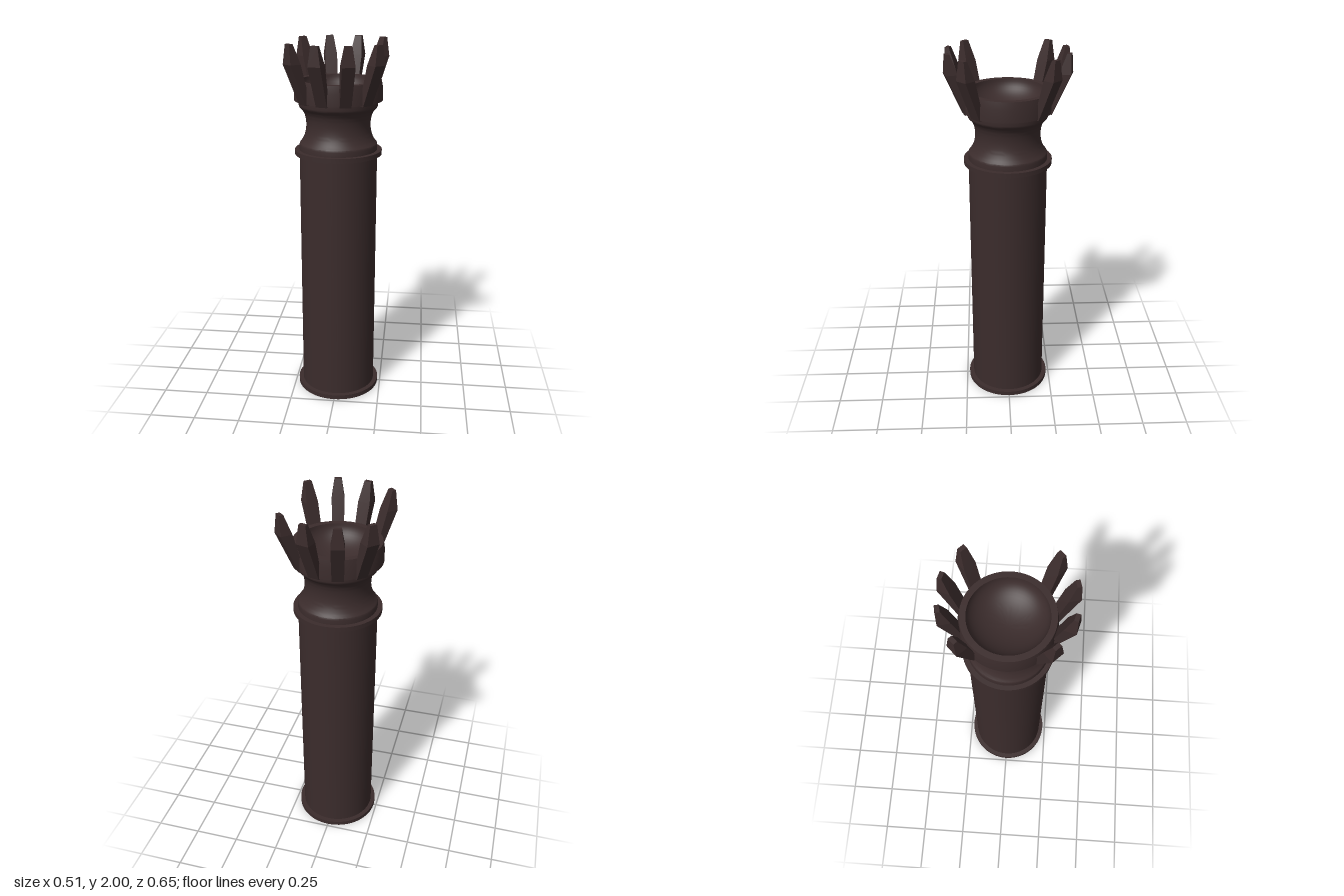
import * as THREE from 'three';
import { toCreasedNormals } from 'three/addons/utils/BufferGeometryUtils.js';

const material = new THREE.MeshStandardMaterial({ color: 0x3b2c2c, side: THREE.DoubleSide });

// Turned part from a list of [radius, height] points, sharp edges kept
function turned(name, profile) {
  const points = profile.map(([r, y]) => new THREE.Vector2(r, y));
  const mesh = new THREE.Mesh(toCreasedNormals(new THREE.LatheGeometry(points, 64), 0.5), material);
  mesh.name = name;
  return mesh;
}

// Thin flange ring around the shaft
const flange = (name, y0, y1) =>
  turned(name, [[0.205, y0], [0.235, y0], [0.235, y1], [0.205, y1]]);

// Prong lofted through rectangles: [height, inner radius, outer radius, width]
function prongGeometry() {
  const sections = [
    [1.69, 0.205, 0.236, 0.06],
    [1.9, 0.266, 0.328, 0.067],
    [2.0, 0.302, 0.323, 0.037],
  ];
  const positions = [];
  for (const [y, rIn, rOut, w] of sections) {
    positions.push(-w / 2, y, rOut, w / 2, y, rOut, w / 2, y, rIn, -w / 2, y, rIn);
  }
  const index = [0, 2, 1, 0, 3, 2];
  for (let s = 0; s < sections.length - 1; s++) {
    for (let i = 0; i < 4; i++) {
      const a = s * 4 + i, b = s * 4 + (i + 1) % 4;
      index.push(a, b, b + 4, a, b + 4, a + 4);
    }
  }
  const t = (sections.length - 1) * 4;
  index.push(t, t + 1, t + 2, t, t + 2, t + 3);
  const geometry = new THREE.BufferGeometry();
  geometry.setAttribute('position', new THREE.Float32BufferAttribute(positions, 3));
  geometry.setIndex(index);
  return toCreasedNormals(geometry, 0.1);
}

export function createModel() {
  const model = new THREE.Group();
  model.name = 'prongedColumn';

  // Hollow shaft, open at the foot
  model.add(turned('shaft', [
    [0, 1.4], [0.205, 1.4], [0.205, 0], [0.21, 0], [0.21, 1.42],
  ]));
  model.add(flange('footFlange', 0, 0.025));
  model.add(flange('shoulderFlange', 1.405, 1.43));

  // Waisted neck: a smooth hollow curve between two straight bands
  const waist = new THREE.SplineCurve([
    [0.208, 1.465], [0.193, 1.485], [0.178, 1.52], [0.172, 1.565],
    [0.177, 1.61], [0.19, 1.64], [0.208, 1.66],
  ].map(([r, y]) => new THREE.Vector2(r, y)));
  model.add(turned('neck', [
    [0.21, 1.43], [0.21, 1.455],
    ...waist.getPoints(24).map((p) => [p.x, p.y]),
    [0.211, 1.67], [0.211, 1.7],
  ]));

  // Cup with a flat rim and a rounded bowl
  const bowl = [];
  for (let i = 0; i <= 14; i++) {
    const a = (i / 14) * Math.PI / 2;
    bowl.push([0.197 * Math.cos(a), 1.8 - 0.12 * Math.sin(a)]);
  }
  bowl[14][0] = 0;
  model.add(turned('cup', [
    [0.2, 1.695], [0.235, 1.695], [0.235, 1.76], [0.228, 1.8], ...bowl,
  ]));

  // Four prongs at the front and four at the back, leaving the sides clear
  const prongs = new THREE.Group();
  prongs.name = 'prongs';
  const geometry = prongGeometry();
  for (const facing of [0, 180]) {
    for (const angle of [-45, -15, 15, 45]) {
      const prong = new THREE.Mesh(geometry, material);
      prong.name = 'prong';
      prong.rotation.y = THREE.MathUtils.degToRad(facing + angle);
      prongs.add(prong);
    }
  }
  model.add(prongs);
  return model;
}
